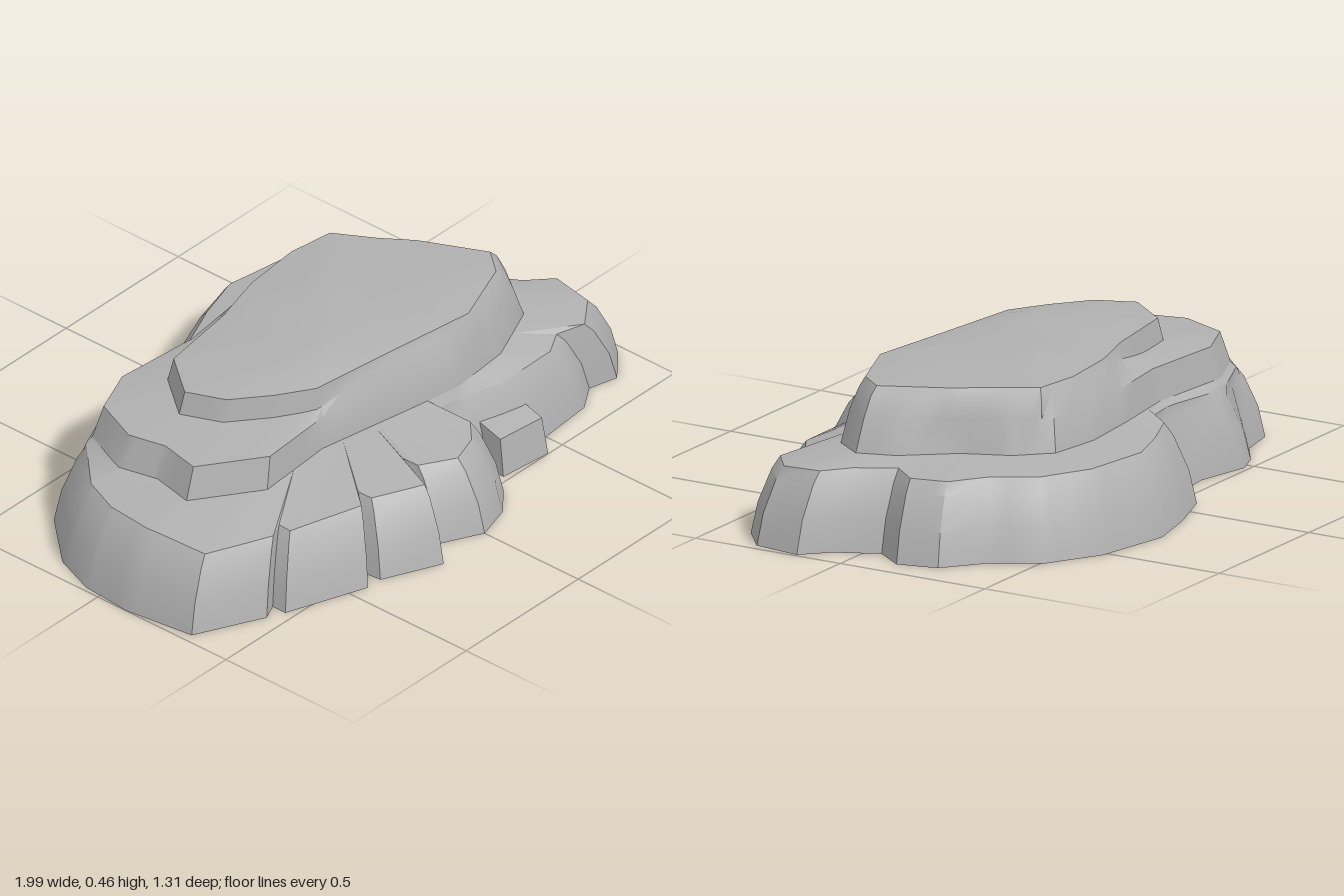
import * as THREE from 'three';
import { toCreasedNormals } from 'three/addons/utils/BufferGeometryUtils.js';

// Plan outlines as [x, z], running from the left side (+x) round by the front
const FOOT = [
  [0.995, 0.16], [0.97, 0.31], [0.87, 0.39], [0.775, 0.365], [0.69, 0.42], [0.46, 0.44], [0.27, 0.405],
  [0.165, 0.375], [0.205, 0.53], [0.12, 0.6], [0, 0.635], [-0.13, 0.57], [-0.135, 0.51], [-0.2, 0.65],
  [-0.385, 0.565], [-0.39, 0.51], [-0.44, 0.565], [-0.7, 0.47], [-0.7, 0.42], [-0.755, 0.445], [-0.97, 0.34],
  [-1, 0.11], [-0.985, -0.06], [-0.93, -0.2], [-0.78, -0.365], [-0.65, -0.39], [-0.555, -0.455],
  [-0.47, -0.485], [-0.295, -0.445], [-0.145, -0.46], [-0.085, -0.56], [0.09, -0.62], [0.27, -0.66],
  [0.52, -0.61], [0.685, -0.51], [0.775, -0.365], [0.89, -0.27], [0.92, -0.145], [0.85, -0.05], [0.915, 0.08],
];
const TERRACE = [
  [0.73, 0.12], [0.66, 0.21], [0.46, 0.295], [0.245, 0.315], [0.085, 0.29], [-0.26, 0.23], [-0.53, 0.25],
  [-0.73, 0.11], [-0.7, -0.03], [-0.73, -0.16], [-0.66, -0.32], [-0.5, -0.385], [-0.2, -0.36], [0.03, -0.39],
  [0.245, -0.41], [0.42, -0.385], [0.51, -0.29], [0.57, -0.15], [0.69, 0],
];
const CROWN = [
  [0.635, 0.1], [0.57, 0.18], [0.35, 0.265], [0.085, 0.23], [-0.24, 0.19], [-0.35, 0.12], [-0.46, 0.03],
  [-0.51, -0.09], [-0.4, -0.23], [-0.13, -0.27], [0.05, -0.32], [0.25, -0.34], [0.4, -0.32], [0.47, -0.2],
  [0.54, -0.1],
];

const TAU = Math.PI * 2;
const angleOf = ([x, z]) => (Math.atan2(z, x) + TAU) % TAU;

// Distance from the centre to an outline along one direction
function reach(outline, angle) {
  const c = Math.cos(angle), s = Math.sin(angle);
  let best = 0;
  outline.forEach(([ax, az], i) => {
    const [bx, bz] = outline[(i + 1) % outline.length];
    const dx = bx - ax, dz = bz - az, det = c * dz - s * dx;
    if (Math.abs(det) < 1e-9) return;
    const r = (ax * dz - az * dx) / det;
    const t = (ax * s - az * c) / det;
    if (r > 0 && t > -1e-6 && t < 1 + 1e-6) best = Math.max(best, r);
  });
  return best;
}

// One column of the rock for every outline corner
const ANGLES = [...FOOT, ...TERRACE, ...CROWN].map(angleOf).sort((a, b) => a - b)
  .filter((a, i, all) => i === 0 || a - all[i - 1] > 0.004);

const COLUMNS = ANGLES.map((a) => ({
  c: Math.cos(a), s: Math.sin(a),
  foot: reach(FOOT, a), terrace: reach(TERRACE, a), crown: reach(CROWN, a),
}));

// Each ring is a rule giving [radius, height] for a column
function loft(name, material, rings, crease) {
  const pos = [], index = [], n = COLUMNS.length;
  rings.forEach((rule) => COLUMNS.forEach((col) => {
    const [r, y] = rule(col);
    pos.push(col.c * r, y, col.s * r);
  }));
  for (let k = 0; k < rings.length - 1; k++) {
    for (let i = 0; i < n; i++) {
      const a = k * n + i, b = k * n + (i + 1) % n;
      index.push(a, a + n, b, b, a + n, b + n);
    }
  }
  const geo = new THREE.BufferGeometry();
  geo.setAttribute('position', new THREE.Float32BufferAttribute(pos, 3));
  geo.setIndex(index);
  const mesh = new THREE.Mesh(toCreasedNormals(geo, crease), material);
  mesh.name = name;
  return mesh;
}

const smooth = THREE.MathUtils.smoothstep;

// Lower cliff: a battered wall, lower along the front slabs
const cliff = (inset, y) => (col) => {
  const front = smooth(col.s * col.foot, 0.1, 0.4);
  return [Math.max(col.foot - inset, col.terrace + 0.02), y * (1 - 0.06 * front)];
};
const rim = cliff(0.105, 0.235);
const terraceFoot = (col) => [col.terrace, 0.253];

// Upper cliff: opens into a shelf at the -x end, steep elsewhere
const shelfEdge = (col) => [Math.max(col.terrace * 0.95, col.crown * 1.06), 0.352];
const crownFoot = (col) => [col.crown * 1.04, 0.368 + 0.045 * smooth(col.c * col.crown, -0.3, 0.05)];
const crownRim = (col) => [col.crown, 0.438];

// Summit: shallow dome with two low swells
const summit = (t) => (col) => {
  const r = col.crown * t, x = col.c * r, z = col.s * r;
  const swell = (px, pz) => Math.exp(-((x - px) ** 2 + (z - pz) ** 2) / 0.012);
  return [r, 0.438 + 0.016 * (1 - t * t) + 0.01 * (swell(-0.18, 0.1) + swell(0.15, -0.14)) * (1 - t ** 4)];
};

export function createModel() {
  const stone = new THREE.MeshStandardMaterial({ color: 0xb0b0b0, side: THREE.DoubleSide });
  stone.name = 'grey stone';
  const rock = new THREE.Group();
  rock.name = 'layeredRock';
  rock.add(
    loft('lowerCliff', stone, [cliff(0, 0), cliff(0.025, 0.1), cliff(0.075, 0.2), rim], 0.6),
    loft('lowerLedge', stone, [rim, terraceFoot], 0.5),
    loft('upperCliff', stone, [terraceFoot, shelfEdge, crownFoot, crownRim], 0.6),
    loft('summit', stone, [1, 0.93, 0.75, 0.5, 0.25, 0].map(summit), 0.7),
  );

  // Small loose block leaning on the front wall, narrower at the top
  const block = new THREE.BoxGeometry(0.18, 0.14, 0.12);
  const p = block.attributes.position;
  for (let i = 0; i < p.count; i++) {
    if (p.getY(i) > 0) {
      p.setX(i, p.getX(i) * 0.93);
      if (p.getZ(i) > 0) p.setXYZ(i, p.getX(i), p.getY(i) - 0.02, p.getZ(i) - 0.02);
    }
  }
  block.computeVertexNormals();
  const looseBlock = new THREE.Mesh(block, stone);
  looseBlock.name = 'looseBlock';
  looseBlock.position.set(0.355, 0.07, 0.43);
  looseBlock.rotation.y = -0.1;
  rock.add(looseBlock);
  return rock;
}
